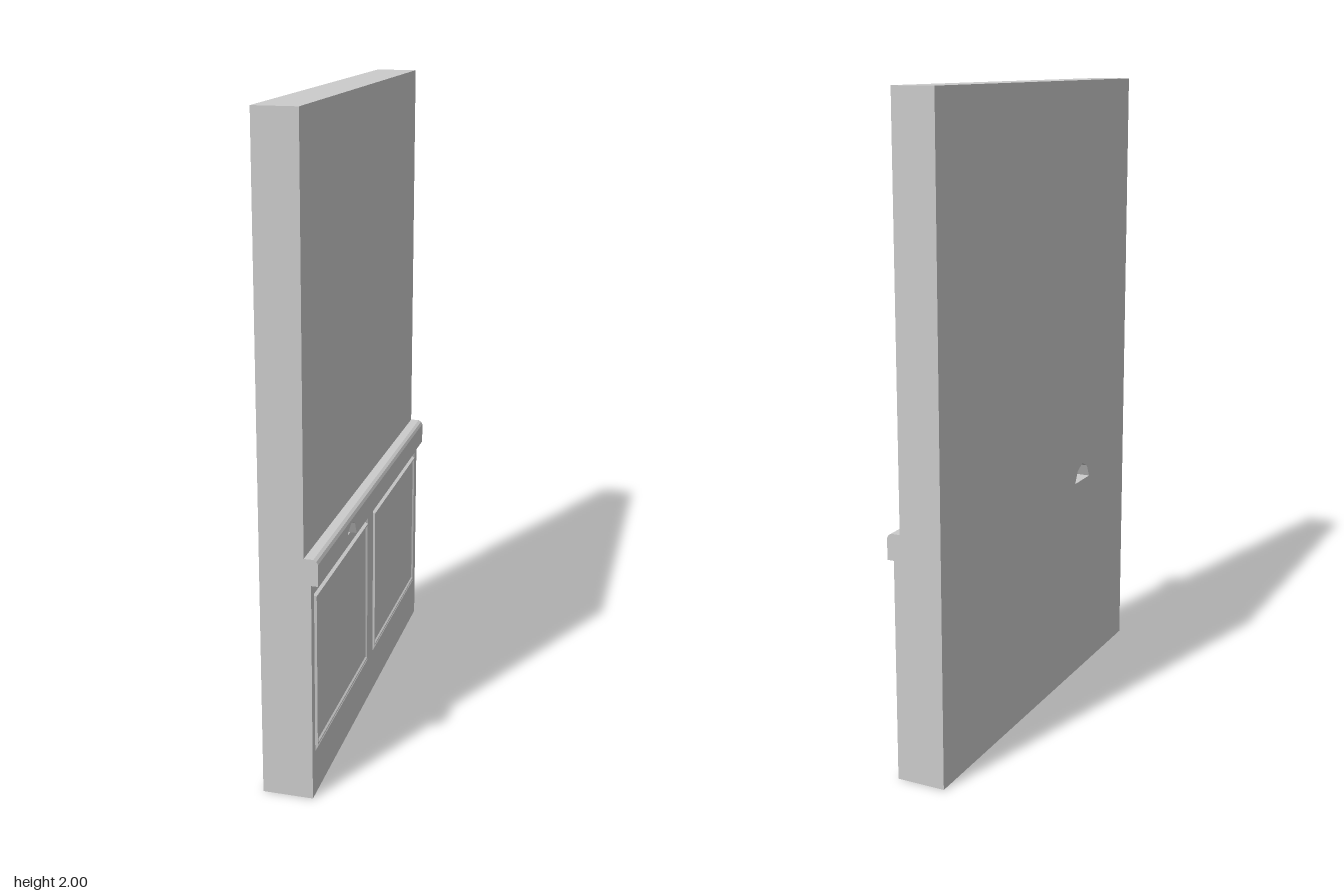
import * as THREE from 'three';

const HALF = 0.667;     // half the length of the wall
const RAIL_Y = 0.679;   // underside of the chair rail
const ARCH_TOP = 0.745; // start of the rail's rounded cap
// small arched opening, in (u, y) with u = -z
const ARCH = [[-0.367, RAIL_Y], [-0.252, RAIL_Y], [-0.273, 0.72], [-0.31, 0.738], [-0.348, 0.72]];

const material = new THREE.MeshStandardMaterial({ color: 0xcccccc, flatShading: true });
const toVectors = (points) => points.map(([a, b]) => new THREE.Vector2(a, b));
const rectangle = (u0, y0, u1, y1) => [[u0, y0], [u1, y0], [u1, y1], [u0, y1]];

// Slab drawn on the wall plane, from depth d0 to d1, with cut-outs
function slab(name, outline, holes, d0, d1) {
  const shape = new THREE.Shape(toVectors(outline));
  holes.forEach((h) => shape.holes.push(new THREE.Path(toVectors(h))));
  const geometry = new THREE.ExtrudeGeometry(shape, { depth: d1 - d0, bevelEnabled: false });
  geometry.translate(0, 0, d0);
  const mesh = new THREE.Mesh(geometry, material);
  mesh.name = name;
  return mesh;
}

// Moulded panel: nested rectangles, each step an [inset, depth] pair
function mouldedPanel(name, u0, y0, u1, y1, steps) {
  const rings = steps.map(([i, d]) =>
    rectangle(u0 + i, y0 + i, u1 - i, y1 - i).map(([u, y]) => [u, y, d]));
  const positions = [];
  const quad = (a, b, c, d) => positions.push(...a, ...b, ...c, ...a, ...c, ...d);
  for (let r = 0; r < rings.length - 1; r++) {
    for (let k = 0; k < 4; k++) {
      const n = (k + 1) % 4;
      quad(rings[r][k], rings[r][n], rings[r + 1][n], rings[r + 1][k]);
    }
  }
  quad(...rings[rings.length - 1]);
  const geometry = new THREE.BufferGeometry();
  geometry.setAttribute('position', new THREE.Float32BufferAttribute(positions, 3));
  geometry.computeVertexNormals();
  const mesh = new THREE.Mesh(geometry, material);
  mesh.name = name;
  return mesh;
}

export function createModel() {
  const model = new THREE.Group();
  model.name = 'panelledWall';
  // u runs along -z, depth along +x
  const wall = new THREE.Group();
  wall.name = 'wallSection';
  wall.rotation.y = Math.PI / 2;
  model.add(wall);

  // Main wall, pierced by the opening
  wall.add(slab('mainWall', rectangle(-HALF, 0, HALF, 2), [ARCH], -0.088, 0.044));

  // Wainscot with two recessed moulded panels
  const panels = [-0.338, 0.332].map((c) => [c - 0.301, 0.141, c + 0.301, 0.643]);
  wall.add(slab('wainscot', rectangle(-HALF, 0, HALF, RAIL_Y),
    panels.map((p) => rectangle(...p)), 0.044, 0.065));
  const steps = [[0, 0.065], [0.009, 0.056], [0.013, 0.069], [0.018, 0.069], [0.022, 0.064]];
  panels.forEach((p, i) => wall.add(mouldedPanel(i ? 'rightPanel' : 'leftPanel', ...p, steps)));

  // Chair rail face, notched over the opening
  const notched = [[-HALF, RAIL_Y], ARCH[0], ARCH[4], ARCH[3], ARCH[2], ARCH[1],
    [HALF, RAIL_Y], [HALF, ARCH_TOP], [-HALF, ARCH_TOP]];
  wall.add(slab('chairRail', notched, [], 0.044, 0.086));

  // Rounded cap along the top of the rail
  const capProfile = [[0.044, ARCH_TOP], [0.086, ARCH_TOP], [0.081, 0.754], [0.072, 0.759], [0.044, 0.759]];
  const capGeometry = new THREE.ExtrudeGeometry(new THREE.Shape(toVectors(capProfile)),
    { depth: 2 * HALF, bevelEnabled: false });
  const cap = new THREE.Mesh(capGeometry, material);
  cap.name = 'railCap';
  cap.position.z = -HALF;
  model.add(cap);

  return model;
}
